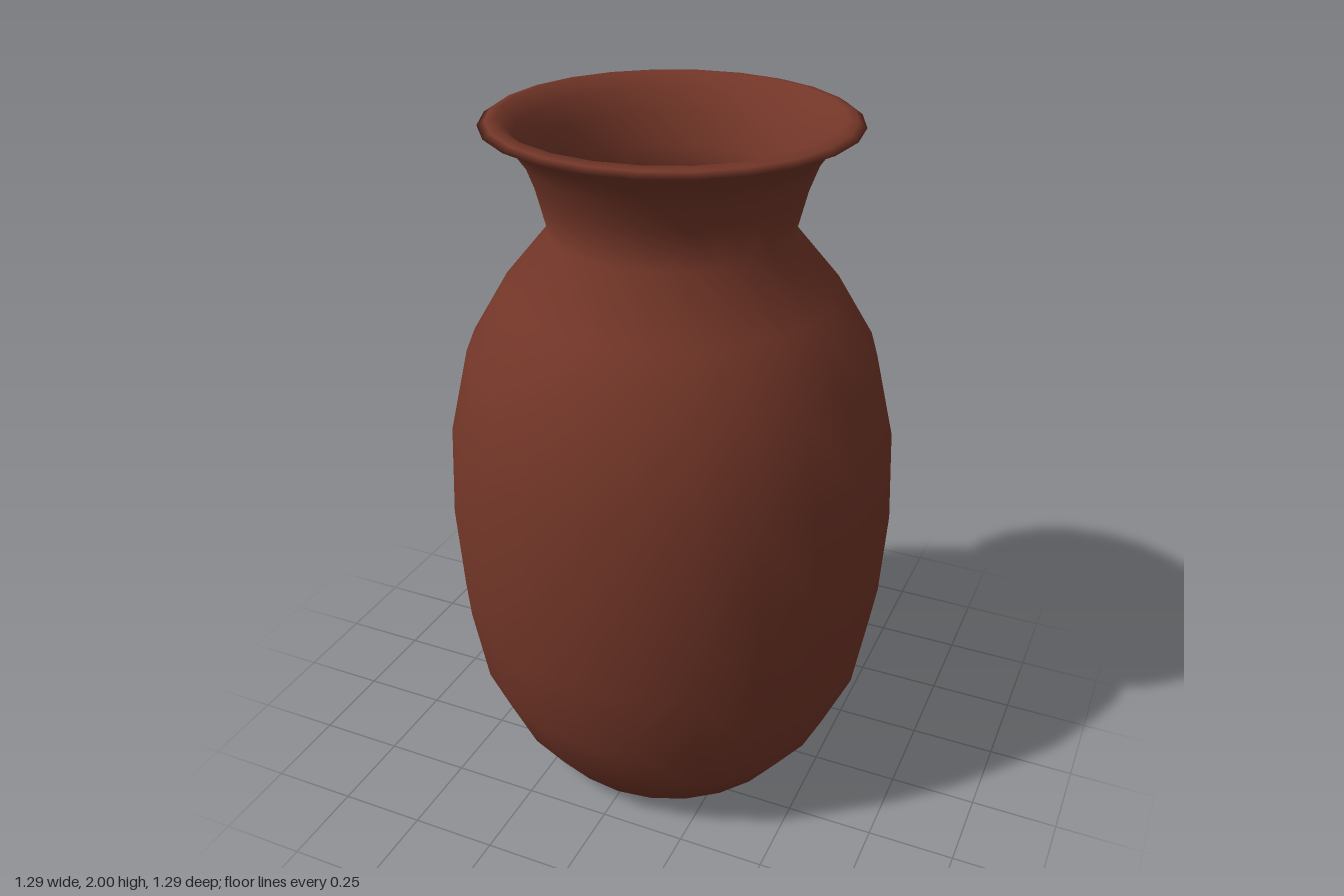
import * as THREE from 'three';

export function createModel() {
  const group = new THREE.Group();
  group.name = 'vase';
  const clay = new THREE.MeshStandardMaterial({ color: 0x733628 });

  // Profile [radius, height]: foot, belly, shoulder, neck and lip
  const outer = [
    [0, 0], [0.2, 0.003], [0.405, 0.012], [0.51, 0.15], [0.592, 0.335], [0.632, 0.57],
    [0.647, 0.83], [0.633, 1.105], [0.575, 1.35], [0.468, 1.53], [0.335, 1.69],
    [0.365, 1.81], [0.395, 1.89], [0.437, 1.95], [0.505, 1.982],
  ];
  // Rounded lip, then down the hollow inside to the floor
  const inner = [
    [0.485, 1.995], [0.455, 2], [0.415, 1.96], [0.375, 1.9], [0.345, 1.81], [0.317, 1.69],
    [0.452, 1.52], [0.557, 1.34], [0.614, 1.1], [0.627, 0.83], [0.612, 0.575],
    [0.572, 0.345], [0.493, 0.165], [0.395, 0.035], [0, 0.03],
  ];
  const profile = (points) => points.map(([r, y]) => new THREE.Vector2(r, y));

  const body = new THREE.Mesh(
    new THREE.LatheGeometry(profile([...outer, ...inner]), 24), clay);
  body.name = 'vaseBody';
  group.add(body);
  return group;
}
